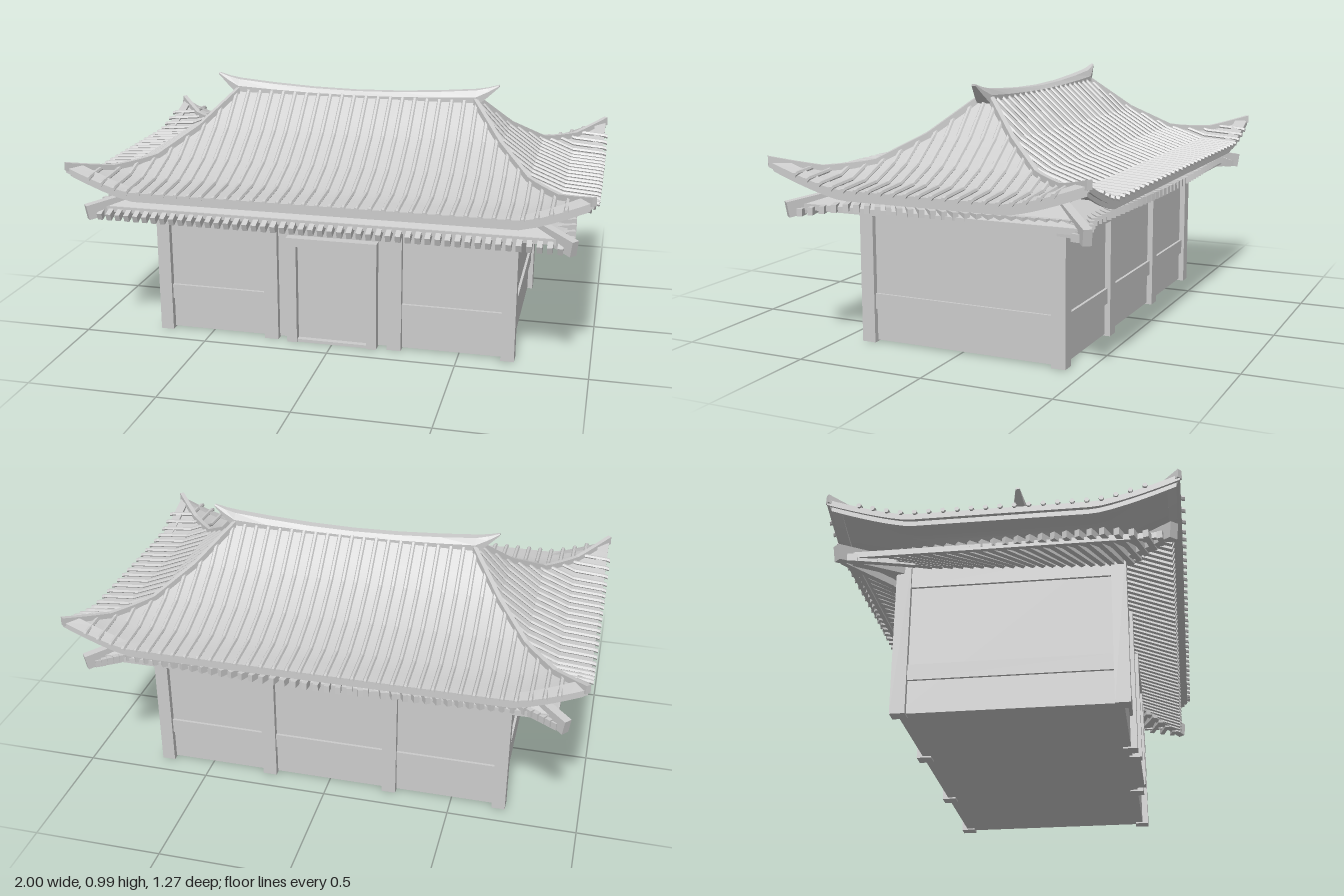
import * as THREE from 'three';

const grey = new THREE.MeshStandardMaterial({ color: 0xcccccc, side: THREE.DoubleSide, flatShading: true });
const smooth = new THREE.MeshStandardMaterial({ color: 0xcccccc, side: THREE.DoubleSide });
const lerp = THREE.MathUtils.lerp, clamp = THREE.MathUtils.clamp;

function add(parent, geo, name, mat = grey) {
  const m = new THREE.Mesh(geo, mat);
  m.name = name;
  parent.add(m);
  return m;
}

// Box given by its min and max on each axis
function box(parent, name, x0, x1, y0, y1, z0, z1) {
  const m = add(parent, new THREE.BoxGeometry(x1 - x0, y1 - y0, z1 - z0), name);
  m.position.set((x0 + x1) / 2, (y0 + y1) / 2, (z0 + z1) / 2);
  return m;
}

// Straight timber of section w x h between two points
function beam(parent, name, a, b, w, h) {
  const A = new THREE.Vector3(...a), B = new THREE.Vector3(...b);
  const m = add(parent, new THREE.BoxGeometry(w, h, A.distanceTo(B)), name);
  m.position.copy(A).add(B).multiplyScalar(0.5);
  m.lookAt(B);
  return m;
}

// Skin over equal-sized closed rings, with optional end caps
function loft(rings, caps = true) {
  const n = rings[0].length, pos = rings.flat(2), idx = [];
  for (let i = 0; i < rings.length - 1; i++)
    for (let j = 0; j < n; j++) {
      const a = i * n + j, b = i * n + (j + 1) % n;
      idx.push(a, b, a + n, b, b + n, a + n);
    }
  if (caps)
    for (let j = 1; j < n - 1; j++) {
      const e = (rings.length - 1) * n;
      idx.push(0, j + 1, j, e, e + j, e + j + 1);
    }
  const g = new THREE.BufferGeometry();
  g.setAttribute('position', new THREE.Float32BufferAttribute(pos, 3));
  g.setIndex(idx);
  g.computeVertexNormals();
  return g;
}

// Open sheet from fn(u, v), both 0..1
function sheet(fn, nu, nv) {
  const g = new THREE.PlaneGeometry(1, 1, nu, nv), p = g.attributes.position;
  for (let i = 0; i < p.count; i++) p.setXYZ(i, ...fn(p.getX(i) + 0.5, p.getY(i) + 0.5));
  g.computeVertexNormals();
  return g;
}

// Roof measures: eave half sizes, ridge half sizes, slope profile from eave to ridge
const EX = 0.985, EZ = 0.62, RX = 0.49, RZ = 0.03;
const PROFILE = [0.635, 0.645, 0.695, 0.785, 0.915];
function slopeY(v) {
  const t = clamp(v, 0, 1) * 4, i = Math.min(3, Math.floor(t));
  return lerp(PROFILE[i], PROFILE[i + 1], t - i);
}
// Upward sweep of the corners; p is 0 at the corner
const lift = p => 0.085 * Math.pow(clamp(1 - 2 * p, 0, 1), 1.3);

// One slope facing +z: a runs along the eave, z runs outwards
function roofSlope(parent, A, a1, D, d1, tiles, step) {
  const hip = a => (A - Math.abs(a)) / (A - a1);
  const point = (drop) => (u, v) => {
    const a = (2 * u - 1) * lerp(A, a1, v);
    return [a, slopeY(v) + lift(hip(a)) - drop, lerp(D, d1, v)];
  };
  add(parent, sheet(point(0), 32, 8), 'roofSheet', smooth);
  add(parent, sheet(point(0.02), 32, 8), 'soffit', smooth);

  // Rows of round cover tiles, ending at the hips
  for (let i = 0; i < tiles; i++) {
    const a = (i - (tiles - 1) / 2) * step, end = Math.min(1, hip(a));
    const vs = [0, 0.25, 0.5, 0.75, 1].filter(v => v < end - 0.01).concat(end);
    const ring = (z, y, r) => Array.from({ length: 6 }, (_, k) => {
      const t = k * Math.PI / 3;
      return [a + r * Math.cos(t), y + r * Math.sin(t), z];
    });
    const y0 = slopeY(0) + lift(hip(a));
    const rings = [ring(D + 0.014, y0, 0.009)];
    for (const v of vs) rings.push(ring(lerp(D, d1, v), slopeY(v) + lift(hip(a)) + 0.004, 0.009));
    add(parent, loft(rings), 'tileRow');
  }

  // Stepped eave board following the corner sweep
  const section = [[0, 0], [0, -0.022], [0.014, -0.022], [0.014, -0.04], [0.045, -0.04], [0.045, 0]];
  const rings = [];
  for (let i = 0; i <= 32; i++) {
    const u = i / 16 - 1;
    rings.push(section.map(([d, y]) => [u * (A - d), slopeY(0) + lift(hip(u * A)) + y, D - d]));
  }
  add(parent, loft(rings), 'eaveBoard');
}

// Lower eave facing +z: rafters shortened at the hip beams, with a sloping deck
function lowerEave(parent, wallA, wallD, tipA, tipD, count, step) {
  for (let i = 0; i < count; i++) {
    const a = (i - (count - 1) / 2) * step;
    const f = clamp((Math.abs(a) - wallA) / (tipA - wallA), 0, 0.9);
    beam(parent, 'rafter', [a, lerp(0.59, 0.518, f), lerp(wallD, tipD, f)], [a, 0.518, tipD], 0.02, 0.028);
  }
  for (const drop of [0, 0.018])
    add(parent, sheet((u, v) => [(2 * u - 1) * lerp(tipA - 0.03, wallA - 0.03, v),
      lerp(0.552, 0.617, v) - drop, lerp(tipD - 0.03, wallD - 0.03, v)], 1, 1), 'eaveDeck');
  box(parent, 'deckEdge', -tipA + 0.03, tipA - 0.03, 0.532, 0.554, tipD - 0.045, tipD - 0.03);
}

export function createModel() {
  const model = new THREE.Group();
  model.name = 'hall';

  // Walls
  const body = new THREE.Group();
  body.name = 'body';
  model.add(body);
  box(body, 'walls', -0.695, 0.695, 0.006, 0.65, -0.402, 0.39);
  for (const s of [-1, 1]) {
    for (const [c, w] of [[0.69, 0.026], [0.248, 0.028]]) {
      box(body, 'frontPost', s * c - w, s * c + w, 0, 0.6, 0.36, 0.415);
      box(body, 'backPost', s * c - w, s * c + w, 0, 0.6, -0.425, -0.37);
    }
    // Rails and top beams
    const x = s * 0.47;
    box(body, 'frontRail', x - 0.2, x + 0.2, 0.13, 0.19, 0.38, 0.402);
    const side = s * 0.695;
    box(body, 'sideRail', side - 0.01, side + 0.01, 0.13, 0.19, -0.375, 0.365);
    box(body, 'sideTopBeam', side - 0.01, side + 0.01, 0.5, 0.6, -0.375, 0.365);
  }
  box(body, 'backRail', -0.67, 0.67, 0.13, 0.19, -0.413, -0.39);
  box(body, 'frontTopBeam', -0.67, 0.67, 0.5, 0.6, 0.38, 0.402);
  box(body, 'backTopBeam', -0.67, 0.67, 0.5, 0.6, -0.413, -0.39);

  // Doorway
  for (const s of [-1, 1])
    box(body, 'doorJamb', s * 0.16 - 0.02, s * 0.16 + 0.02, 0, 0.435, 0.38, 0.427);
  box(body, 'doorLintel', -0.14, 0.14, 0.4, 0.435, 0.38, 0.427);
  box(body, 'doorSill', -0.14, 0.14, 0, 0.012, 0.38, 0.42);
  box(body, 'door', -0.14, 0.14, 0.012, 0.4, 0.38, 0.398);

  // Four roof slopes and lower eaves
  for (let i = 0; i < 4; i++) {
    const g = new THREE.Group();
    g.name = ['frontRoof', 'leftRoof', 'backRoof', 'rightRoof'][i];
    g.rotation.y = i * Math.PI / 2;
    model.add(g);
    if (i % 2 === 0) {
      roofSlope(g, EX, RX, EZ, RZ, 37, 0.0495);
      lowerEave(g, 0.7, 0.4, 0.92, 0.585, 49, 0.0365);
    } else {
      roofSlope(g, EZ, RZ, EX, RX, 21, 0.05);
      lowerEave(g, 0.4, 0.7, 0.585, 0.92, 29, 0.039);
    }
  }

  // Hip ridges and the hip beams under them
  for (const sx of [-1, 1]) for (const sz of [-1, 1]) {
    const rings = [];
    for (let i = 0; i <= 16; i++) {
      const v = i / 16, x = lerp(EX, RX, v), z = lerp(EZ, RZ, v), y = slopeY(v) + lift(v);
      const at = (w, h) => [sx * (x + 0.766 * w), y + h, sz * (z - 0.643 * w)];
      rings.push([at(-0.011, -0.015), at(0.011, -0.015), at(0.009, 0.018), at(-0.009, 0.018)]);
    }
    add(model, loft(rings), 'hipRidge');
    beam(model, 'hipBeam', [sx * 0.68, 0.59, sz * 0.385], [sx * 0.925, 0.535, sz * 0.59], 0.032, 0.058);
  }

  // Main ridge with upswept pointed ends: x, top, bottom, half width
  const half = [[0.58, 0.986, 0.978, 0.008], [0.535, 0.972, 0.937, 0.02], [0.49, 0.963, 0.9, 0.031],
    [0.35, 0.951, 0.9, 0.032], [0.18, 0.941, 0.9, 0.032]];
  const stations = [...half.map(([x, ...r]) => [-x, ...r]), [0, 0.937, 0.9, 0.032], ...half.slice().reverse()];
  add(model, loft(stations.map(([x, t, b, w]) =>
    [[x, b, -w], [x, b, w], [x, lerp(b, t, 0.6), w], [x, t, w * 0.55], [x, t, -w * 0.55], [x, lerp(b, t, 0.6), -w]])), 'mainRidge');

  return model;
}
